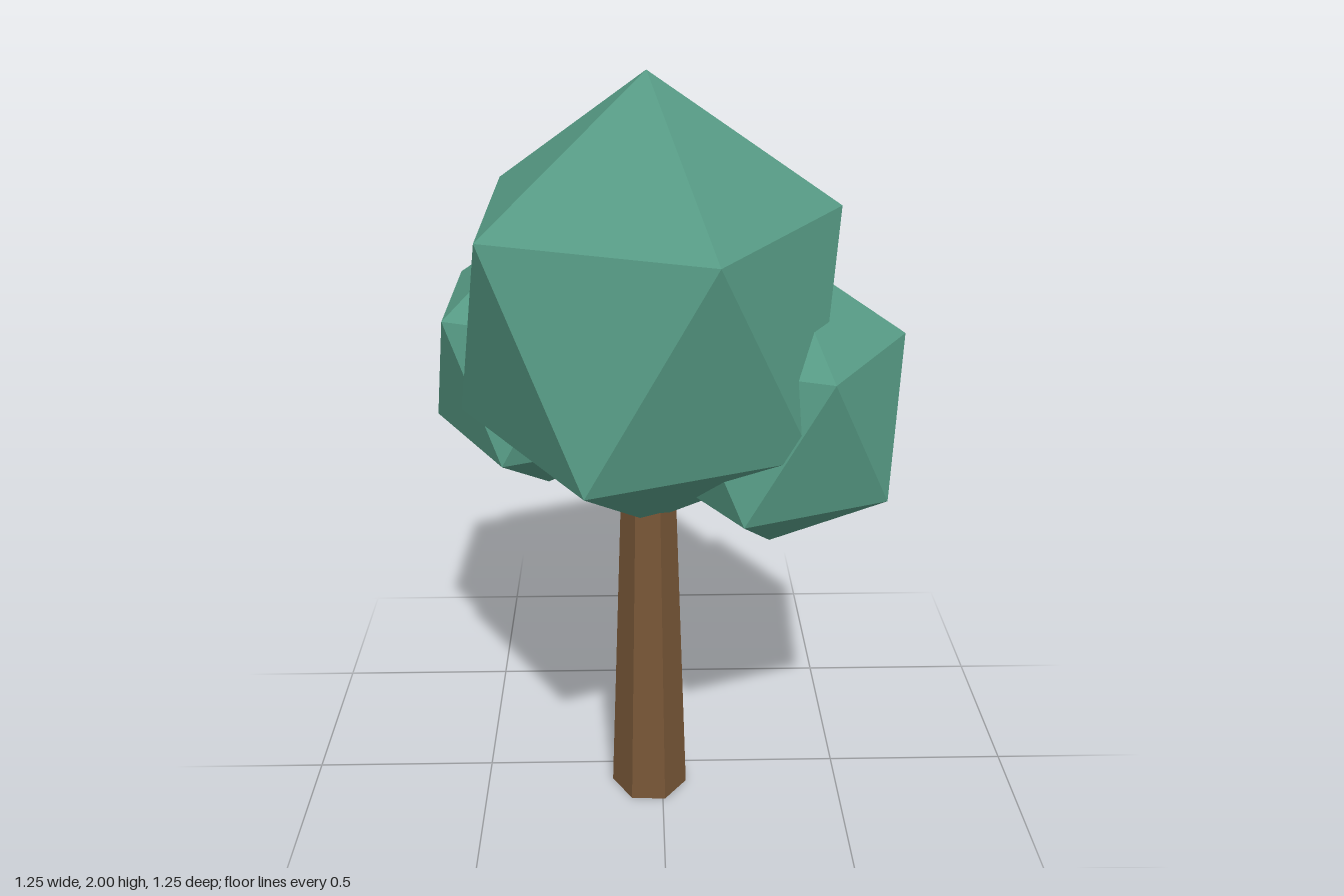
import * as THREE from 'three';

export function createModel() {
  const tree = new THREE.Group();
  tree.name = 'tree';

  const leafGreen = new THREE.MeshStandardMaterial({ color: 0x569a84, flatShading: true });
  leafGreen.name = 'leaf green';
  const barkBrown = new THREE.MeshStandardMaterial({ color: 0x775637, flatShading: true });
  barkBrown.name = 'bark brown';

  // Tapered seven-sided trunk, slightly oval, running up into the crown
  const trunkGeometry = new THREE.CylinderGeometry(0.66, 1, 1, 7, 1, false, 0.4);
  trunkGeometry.scale(0.108, 1, 0.13);
  const trunk = new THREE.Mesh(trunkGeometry, barkBrown);
  trunk.name = 'trunk';
  trunk.position.set(-0.036, 0.5, 0.06);
  tree.add(trunk);

  // Foliage clump: an icosahedron standing on one corner, stretched on each axis
  const addClump = (name, center, radii) => {
    const geometry = new THREE.IcosahedronGeometry(1, 0);
    geometry.rotateX(-Math.atan((1 + Math.sqrt(5)) / 2)); // one corner points up
    geometry.rotateY(Math.PI / 2); // an upper ring corner points to +x
    geometry.scale(...radii);
    const clump = new THREE.Mesh(geometry, leafGreen);
    clump.name = name;
    clump.position.set(...center);
    tree.add(clump);
  };

  addClump('mainCrown', [-0.038, 1.41, 0.06], [0.537, 0.59, 0.662]);
  addClump('leftClump', [0.29, 1.163, 0.06], [0.369, 0.405, 0.447]);
  addClump('backRightClump', [-0.32, 1.187, -0.243], [0.341, 0.387, 0.448]);

  return tree;
}
